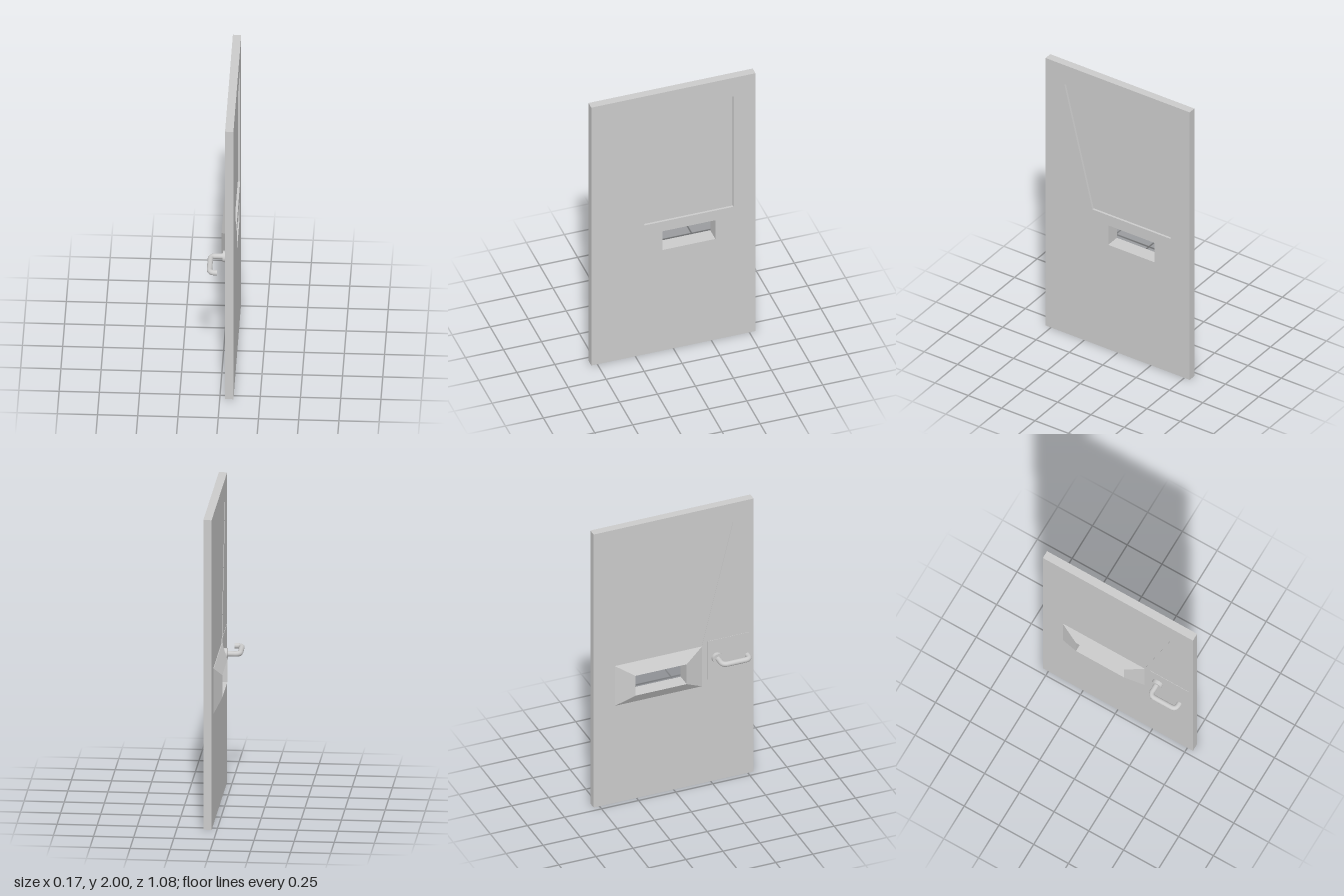
import * as THREE from 'three';

const material = new THREE.MeshStandardMaterial({ color: 0xcccccc });
const flatMaterial = new THREE.MeshStandardMaterial({ color: 0xcccccc, flatShading: true });

const BACK = 0.033, FRONT = 0.085;   // x of the two door faces

// Outlines in (u, y) with u = -z, counter-clockwise seen from +x
const rect = (u0, u1, y0, y1) => [[u0, y0], [u1, y0], [u1, y1], [u0, y1]];
const doorOutline = rect(-0.54, 0.54, 0, 2);
const slotOutline = rect(-0.07, 0.276, 0.78, 0.925);
const hoodOutline = rect(-0.19, 0.395, 0.71, 1.0);
const windowOutline = [[-0.19, 1.0], [0.395, 1.0], [0.395, 1.857], [-0.4, 1.857]];

const toPoints = (outline) => outline.map(([u, y]) => new THREE.Vector2(u, y));

// Extrudes an outline from x0 to x1
function slab(name, outline, holes, x0, x1) {
  const shape = new THREE.Shape(toPoints(outline));
  shape.holes = holes.map((h) => new THREE.Path(toPoints(h)));
  const geometry = new THREE.ExtrudeGeometry(shape, { depth: x1 - x0, bevelEnabled: false });
  geometry.rotateY(Math.PI / 2).translate(x0, 0, 0);
  const mesh = new THREE.Mesh(geometry, flatMaterial);
  mesh.name = name;
  return mesh;
}

// Joins successive rings { outline, x } with flat quads
function loft(name, rings) {
  const positions = [];
  const corner = ({ outline, x }, i) => {
    const [u, y] = outline[i % outline.length];
    return [x, y, -u];
  };
  for (let k = 0; k + 1 < rings.length; k++) {
    const a = rings[k], b = rings[k + 1];
    for (let i = 0; i < a.outline.length; i++) {
      positions.push(...corner(b, i), ...corner(b, i + 1), ...corner(a, i + 1));
      positions.push(...corner(b, i), ...corner(a, i + 1), ...corner(a, i));
    }
  }
  const geometry = new THREE.BufferGeometry();
  geometry.setAttribute('position', new THREE.Float32BufferAttribute(positions, 3));
  geometry.computeVertexNormals();
  const mesh = new THREE.Mesh(geometry, flatMaterial);
  mesh.name = name;
  return mesh;
}

// Bent round bar on a round collar
function makeHandle() {
  const handle = new THREE.Group();
  handle.name = 'handle';
  const y = 0.9, z0 = 0.29, z1 = 0.475, xOut = -0.068, bend = 0.035, radius = 0.017;
  const v = (x, z) => new THREE.Vector3(x, y, z);

  const path = new THREE.CurvePath();
  path.add(new THREE.LineCurve3(v(0.012, z0), v(xOut + bend, z0)));
  path.add(new THREE.QuadraticBezierCurve3(v(xOut + bend, z0), v(xOut, z0), v(xOut, z0 + bend)));
  path.add(new THREE.LineCurve3(v(xOut, z0 + bend), v(xOut, z1 - bend)));
  path.add(new THREE.QuadraticBezierCurve3(v(xOut, z1 - bend), v(xOut, z1), v(xOut + bend, z1)));
  path.add(new THREE.LineCurve3(v(xOut + bend, z1), v(-0.02, z1)));
  const bar = new THREE.Mesh(new THREE.TubeGeometry(path, 64, radius, 20), material);
  bar.name = 'handleBar';

  const cap = new THREE.Mesh(new THREE.CircleGeometry(radius, 20), material);
  cap.name = 'handleEnd';
  cap.rotation.y = Math.PI / 2;
  cap.position.set(-0.02, y, z1);

  const collar = new THREE.Mesh(new THREE.CylinderGeometry(0.035, 0.035, 0.025, 32), material);
  collar.name = 'handleCollar';
  collar.rotation.z = Math.PI / 2;
  collar.position.set(BACK - 0.0125, y, z0);

  handle.add(bar, cap, collar);
  return handle;
}

export function createModel() {
  const door = new THREE.Group();
  door.name = 'door';

  // Panel with openings, and the pane set back into it
  door.add(slab('doorPanel', doorOutline, [windowOutline, slotOutline], BACK, FRONT));
  door.add(slab('windowPane', windowOutline, [], BACK + 0.003, FRONT - 0.015));

  // Sloping surround that deepens the slot
  door.add(loft('slotSurround', [
    { outline: hoodOutline, x: BACK },
    { outline: slotOutline, x: -0.01 },
    { outline: slotOutline, x: BACK },
  ]));

  // Thin plate behind the handle
  const plate = new THREE.Mesh(new THREE.BoxGeometry(0.002, 0.28, 0.28), flatMaterial);
  plate.name = 'handlePlate';
  plate.position.set(BACK - 0.001, 0.89, 0.37);
  door.add(plate, makeHandle());
  return door;
}
